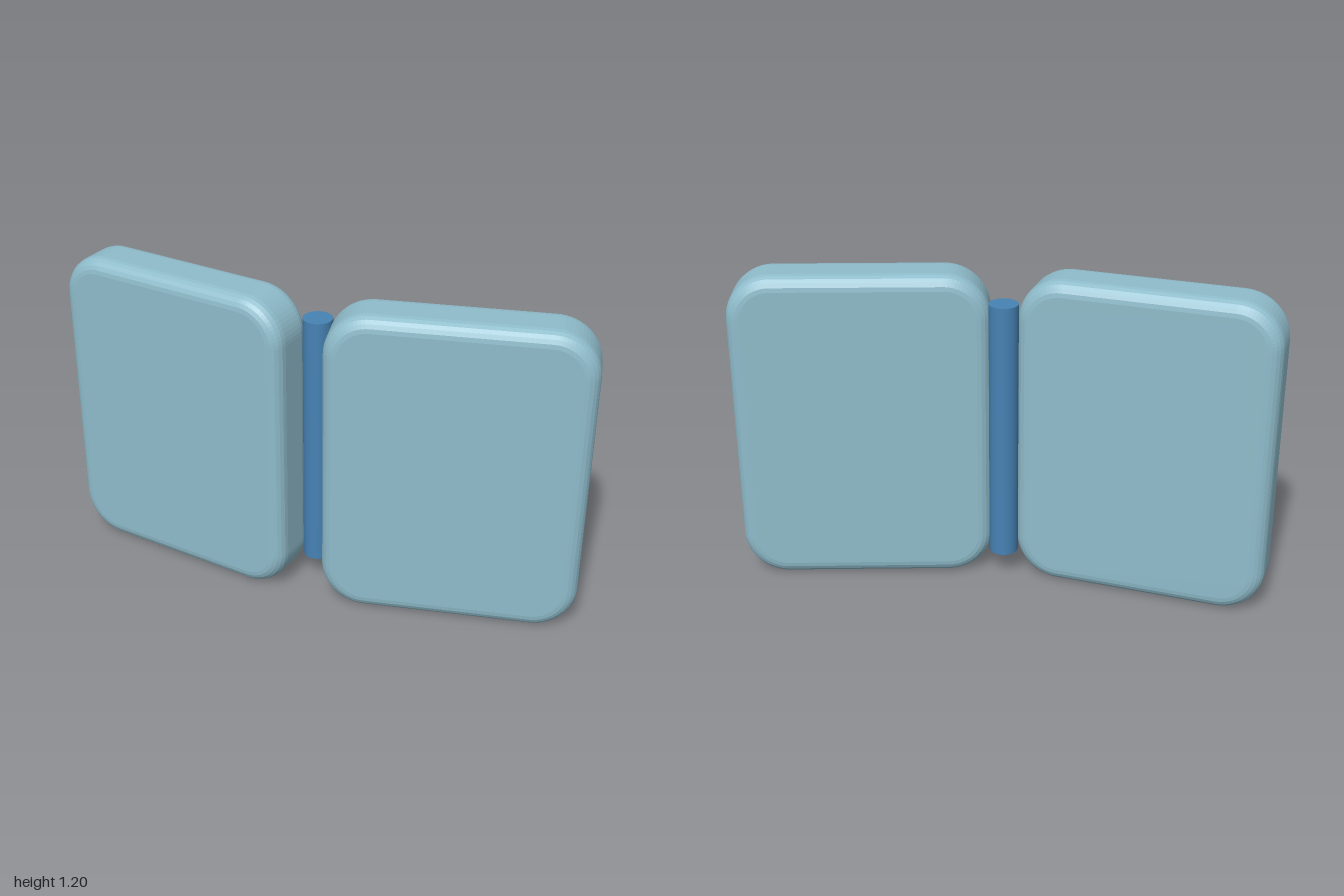
import * as THREE from 'three';

const HEIGHT = 1.2, WIDTH = 0.945, DEPTH = 0.208, BEVEL = 0.052, CORNER = 0.115;

// Rounded rectangle centred on the origin
function roundedRect(w, h, r) {
  const x = w / 2 - r, y = h / 2 - r;
  const s = new THREE.Shape();
  s.absarc(x, y, r, 0, Math.PI / 2);
  s.absarc(-x, y, r, Math.PI / 2, Math.PI);
  s.absarc(-x, -y, r, Math.PI, Math.PI * 1.5);
  s.absarc(x, -y, r, Math.PI * 1.5, Math.PI * 2);
  s.closePath();
  return s;
}

export function createModel() {
  const model = new THREE.Group();
  model.name = 'hingedPanels';
  const panelMaterial = new THREE.MeshStandardMaterial({ color: 0x8fbccb });
  const hingeMaterial = new THREE.MeshStandardMaterial({ color: 0x4682b4 });

  // Thick panel with bevelled rim
  const panelGeometry = new THREE.ExtrudeGeometry(
    roundedRect(WIDTH - 2 * BEVEL, HEIGHT - 2 * BEVEL, CORNER),
    {
      depth: DEPTH - 2 * BEVEL, bevelEnabled: true, bevelThickness: BEVEL,
      bevelSize: BEVEL, bevelSegments: 5, curveSegments: 8,
    },
  );
  panelGeometry.center();

  // Two panels, angled in opposite directions
  for (const side of [-1, 1]) {
    const panel = new THREE.Mesh(panelGeometry, panelMaterial);
    panel.name = side > 0 ? 'leftPanel' : 'rightPanel';
    panel.position.set(side * 0.525, HEIGHT / 2, 0);
    panel.rotation.y = side * THREE.MathUtils.degToRad(10);
    model.add(panel);
  }

  // Upright hinge pin between the panels
  const hinge = new THREE.Mesh(new THREE.CylinderGeometry(0.054, 0.054, 0.995, 32), hingeMaterial);
  hinge.name = 'hingePin';
  hinge.position.y = HEIGHT / 2;
  model.add(hinge);

  return model;
}
